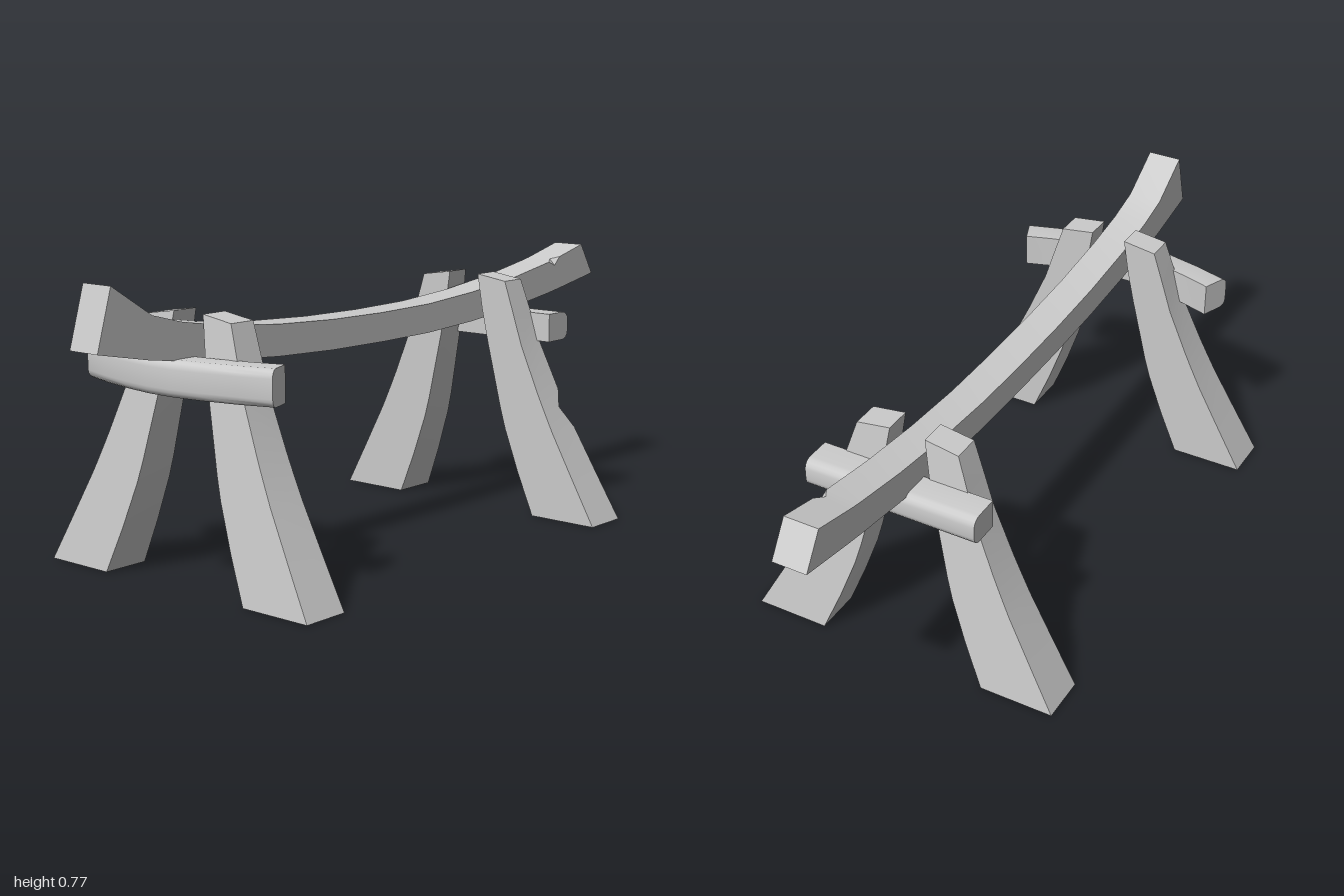
import * as THREE from 'three';
import { toCreasedNormals } from 'three/addons/utils/BufferGeometryUtils.js';

const material = new THREE.MeshStandardMaterial({ color: 0xcccccc, roughness: 0.9 });

// Closed solid through a list of rings of [x, y, z] corners, always facing outwards.
function loft(name, rings) {
  const tris = [];
  const n = rings[0].length;
  const add = (a, b, c) => tris.push([a, b, c].map((p) => new THREE.Vector3(...p)));
  for (let i = 0; i < rings.length - 1; i++) {
    const r = rings[i], s = rings[i + 1];
    for (let j = 0; j < n; j++) {
      const k = (j + 1) % n;
      add(r[j], r[k], s[k]);
      add(r[j], s[k], s[j]);
    }
  }
  const last = rings[rings.length - 1];
  for (let j = 1; j < n - 1; j++) {
    add(rings[0][0], rings[0][j + 1], rings[0][j]);
    add(last[0], last[j], last[j + 1]);
  }
  // Drop empty triangles; the sign of the volume tells whether to flip.
  const solid = tris.filter((t) => new THREE.Triangle(...t).getArea() > 1e-9);
  const volume = solid.reduce((sum, [a, b, c]) => sum + a.dot(b.clone().cross(c)), 0);
  const points = solid.flatMap(([a, b, c]) => (volume > 0 ? [a, b, c] : [a, c, b]));
  const geometry = toCreasedNormals(new THREE.BufferGeometry().setFromPoints(points), 0.42);
  const mesh = new THREE.Mesh(geometry, material);
  mesh.name = name;
  return mesh;
}

// Long sagging beam with upturned ends and a small chip in its front top edge.
function makeBeam() {
  const front = 0.046, back = -0.049;
  // top x, top y, bottom x, bottom y, chip size
  const stations = [
    [-0.955, 0.77, -1, 0.617, 0], [-0.83, 0.69, -0.84, 0.585, 0],
    [-0.73, 0.663, -0.73, 0.569, 0], [-0.6, 0.642, -0.6, 0.555, 0],
    [-0.4, 0.622, -0.4, 0.54, 0], [-0.2, 0.612, -0.2, 0.532, 0],
    [0, 0.609, 0, 0.53, 0], [0.2, 0.612, 0.2, 0.532, 0],
    [0.4, 0.626, 0.4, 0.543, 0], [0.6, 0.65, 0.6, 0.563, 0],
    [0.77, 0.679, 0.77, 0.587, 0], [0.8, 0.685, 0.8, 0.592, 0.018],
    [0.825, 0.691, 0.825, 0.596, 0], [0.94, 0.719, 0.998, 0.627, 0],
  ];
  return loft('beam', stations.map(([xt, yt, xb, yb, chip]) => [
    [xb, yb, back], [xb, yb, front],
    [xt, yt - chip, front], [xt, yt, front - chip], [xt, yt, back],
  ]));
}

// Splayed leg, tapering upwards; side and depth mirror it.
function makeLeg(name, side, depth, chipped) {
  // outer z, outer y, inner z, inner y, chip size
  const stations = [
    [0.445, 0, 0.24, 0, 0], [0.376, 0.125, 0.19, 0.12, 0],
    [0.308, 0.25, 0.146, 0.24, 0], [0.279, 0.31, 0.129, 0.3, 1],
    [0.258, 0.355, 0.116, 0.355, 0], [0.202, 0.485, 0.085, 0.485, 0],
    [0.175, 0.57, 0.066, 0.575, 0], [0.145, 0.662, 0.05, 0.676, 0],
  ];
  const mirrorX = -0.09;
  const rings = stations.map(([zo, yo, zi, yi, c]) => {
    const chip = chipped ? c : 0;
    const near = (y) => 0.52 - 0.015 * y / 0.67;
    const far = (y) => 0.65 - 0.07 * y / 0.67;
    return [
      [near(yi), yi, zi], [near(yo), yo, zo],
      [far(yo) - 0.03 * chip, yo, zo], [far(yo), yo, zo - 0.03 * chip],
      [far(yi), yi, zi],
    ].map(([x, y, z]) => [mirrorX + side * x, y, depth * z]);
  });
  return loft(name, rings);
}

// Crossbar whose outward edges are rounded; stations hold outer x, z and inner x, z.
function makeCrossbar(name, stations, bottom, top, round) {
  const profile = [[1, bottom], [1, top]]; // share of the inner edge, height
  const steps = 4;
  for (const up of [true, false]) {
    for (let i = 0; i <= steps; i++) {
      const a = (up ? i : steps - i) / steps * Math.PI / 2;
      const inset = round * (1 - Math.cos(a));
      const share = round * (1 - Math.sin(a)) / 0.085;
      profile.push([share, up ? top - inset : bottom + inset]);
    }
  }
  return loft(name, stations.map(([xo, zo, xi, zi]) =>
    profile.map(([s, y]) => [xo + (xi - xo) * s, y, zo + (zi - zo) * s])));
}

export function createModel() {
  const model = new THREE.Group();
  model.name = 'trestle';
  model.add(makeBeam());

  for (const [side, sideName] of [[1, 'left'], [-1, 'right']]) {
    for (const [depth, depthName] of [[1, 'Front'], [-1, 'Back']]) {
      model.add(makeLeg(`${sideName}${depthName}Leg`, side, depth, side + depth === 2));
    }
  }

  // Straight bar on one pair of legs, bowed bar on the other.
  model.add(makeCrossbar('straightCrossbar',
    [[0.588, -0.243, 0.497, -0.243], [0.588, 0.241, 0.497, 0.241]], 0.49, 0.569, 0.024));
  model.add(makeCrossbar('bowedCrossbar', [
    [-0.712, -0.322, -0.637, -0.292], [-0.74, -0.23, -0.662, -0.212],
    [-0.762, -0.13, -0.684, -0.12], [-0.775, -0.04, -0.695, -0.038],
    [-0.775, 0.04, -0.695, 0.038], [-0.762, 0.13, -0.684, 0.12],
    [-0.74, 0.23, -0.662, 0.212], [-0.712, 0.317, -0.637, 0.287],
  ], 0.484, 0.576, 0.022));
  return model;
}
